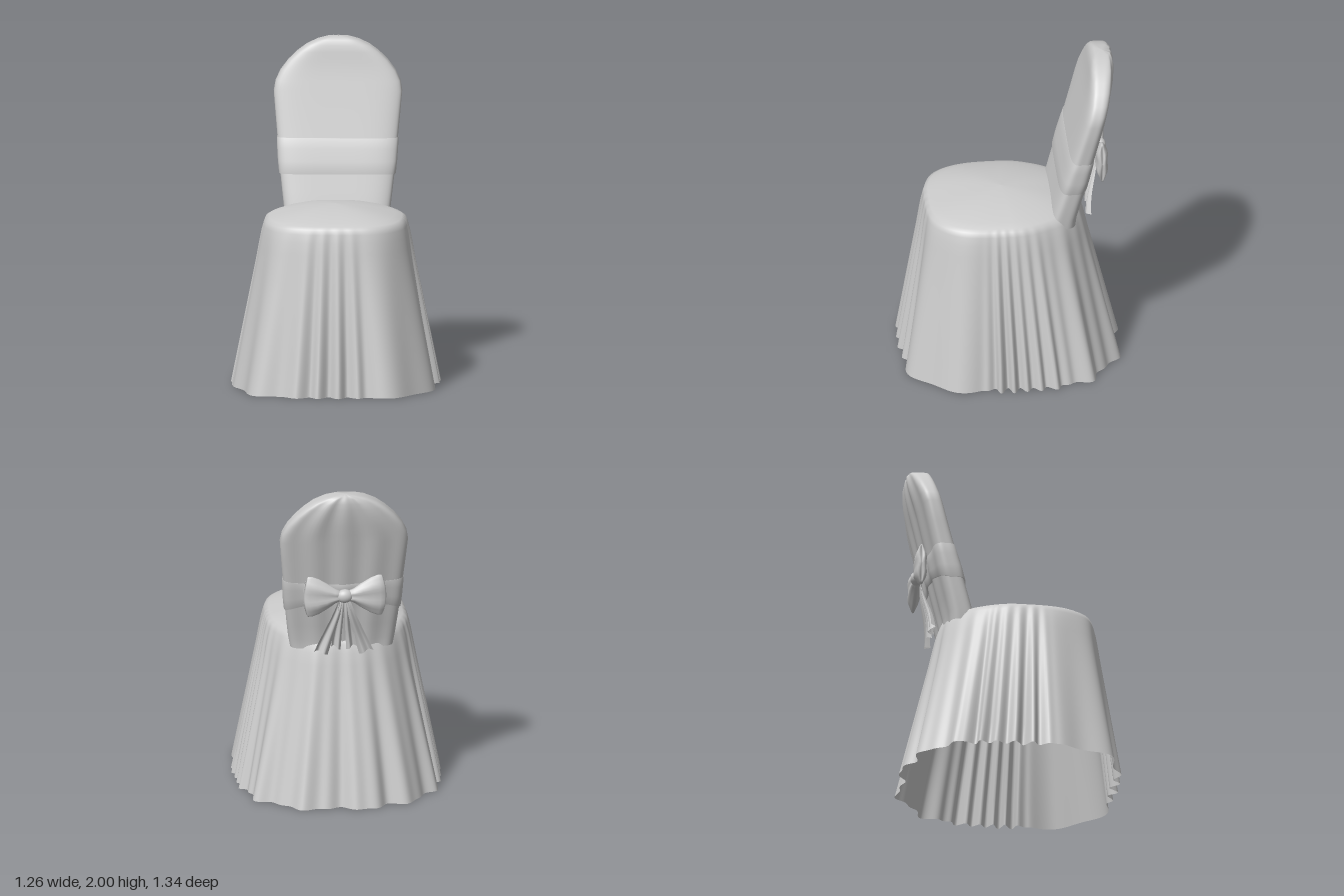
import * as THREE from 'three';

const material = new THREE.MeshStandardMaterial({ color: 0xcccccc, side: THREE.DoubleSide });

// Skin a list of equal-length closed rings of [x, y, z] points
function loft(name, rings) {
  const n = rings[0].length, index = [];
  for (let i = 0; i < rings.length - 1; i++) {
    for (let j = 0; j < n; j++) {
      const a = i * n + j, c = i * n + (j + 1) % n;
      index.push(a, a + n, c, c, a + n, c + n);
    }
  }
  const geo = new THREE.BufferGeometry();
  geo.setAttribute('position', new THREE.Float32BufferAttribute(rings.flat(2), 3));
  geo.setIndex(index);
  geo.computeVertexNormals();
  return named(name, geo);
}

function named(name, geo) {
  const mesh = new THREE.Mesh(geo, material);
  mesh.name = name;
  return mesh;
}

const ring = (n, fn) => Array.from({ length: n }, (_, j) => fn((j / n) * Math.PI * 2));

// Radius of a rounded rectangle in direction t
function squircle(t, a, b, p) {
  return (Math.abs(Math.cos(t) / a) ** p + Math.abs(Math.sin(t) / b) ** p) ** (-1 / p);
}

// Fabric folds around the hem: tight at the sides, broad at the corners
function fold(t) {
  const c = Math.cos(t), s = Math.sin(t);
  const side = Math.exp(-(((s + 0.1) / 0.36) ** 4));
  const front = s > 0 ? Math.exp(-((c / 0.3) ** 4)) : 0;
  const back = s < 0 ? 1 - side : 0;
  const broad = (1 - side) * (1 - front);
  return 0.04 * side * Math.sin(42 * t + 1.5 * Math.sin(5 * t)) * (0.75 + 0.25 * Math.sin(9 * t))
    + 0.03 * front * Math.sin(30 * t + Math.sin(4 * t))
    + 0.024 * broad * Math.sin(14 * t + 1.2 * Math.sin(3 * t + 1))
    + 0.012 * back * Math.sin(27 * t + 2);
}

// Draped skirt and domed seat in one cloth; spread goes 0 at the seat to 1 at the hem
function clothRing(y, spread, scale = 1) {
  return ring(400, t => {
    const c = Math.cos(t), s = Math.sin(t);
    const r0 = squircle(t, 0.415, 0.45, 3) * scale;
    const taper = 1 - 0.2 * THREE.MathUtils.smoothstep(-s, 0.1, 1);
    const r1 = squircle(t, 0.6, 0.645, 3.1 + 0.6 * s) + fold(t);
    return [
      THREE.MathUtils.lerp(r0 * c * taper, r1 * c, spread),
      y,
      THREE.MathUtils.lerp(0.05 + r0 * s, r1 * s, spread),
    ];
  });
}

function skirtAndSeat() {
  const drop = [[0, 1], [0.15, 0.86], [0.3, 0.72], [0.45, 0.58], [0.6, 0.44], [0.75, 0.3],
    [0.85, 0.215], [0.92, 0.15], [0.97, 0.085], [1, 0.03]];
  const dome = [[1.015, 0.96], [1.03, 0.86], [1.052, 0.66], [1.07, 0.42], [1.08, 0.2], [1.085, 0.001]];
  return loft('skirtAndSeat', [
    ...drop.map(([y, s]) => clothRing(y, s)),
    ...dome.map(([y, k]) => clothRing(y, 0, k)),
  ]);
}

// Backrest sections: height, half width, front z, back z
const backRows = [
  [0.94, 0.31, -0.215, -0.4], [1.0, 0.32, -0.23, -0.405], [1.1, 0.332, -0.258, -0.43],
  [1.2, 0.343, -0.287, -0.455], [1.3, 0.352, -0.315, -0.478], [1.4, 0.361, -0.343, -0.502],
  [1.55, 0.375, -0.385, -0.537], [1.68, 0.386, -0.42, -0.567], [1.74, 0.375, -0.436, -0.582],
  [1.8, 0.345, -0.452, -0.597], [1.86, 0.298, -0.465, -0.61], [1.91, 0.245, -0.475, -0.617],
  [1.95, 0.19, -0.483, -0.62], [1.98, 0.125, -0.497, -0.615], [1.995, 0.065, -0.515, -0.605],
  [2.0, 0.001, -0.56, -0.562],
];

function backAt(y) {
  const i = Math.max(1, backRows.findIndex(r => r[0] >= y));
  const [a, b] = [backRows[i - 1], backRows[i]];
  return a.map((v, k) => THREE.MathUtils.lerp(v, b[k], (y - a[0]) / (b[0] - a[0])));
}

// One point on the backrest surface, pushed out by grow
function backPoint(t, y, grow = 0) {
  const [, w, f, b] = backAt(y);
  const c = Math.cos(t), s = Math.sin(t), d = (f - b) / 2;
  // even spacing around the section by working in unit-square space
  const r = squircle(t, 1, 1, s > 0 ? 5 : 3.2);
  const pleat = s < 0 ? 0.007 * s * Math.cos(c * r * 13) * Math.min(1, w / 0.3) : 0;
  return [c * r * (w + grow), y, (f + b) / 2 + s * r * (d + grow) + pleat];
}

function backrest() {
  return loft('backrest', backRows.map(([y]) => ring(96, t => backPoint(t, y))));
}

// Sash round the backrest, its edges drawn in towards the bow
function sash() {
  const rows = [[0, -0.004], [0, 0.008], [0.35, 0.009], [0.7, 0.007], [1, 0.004], [1, -0.004]];
  return loft('sash', rows.map(([v, grow]) => ring(96, t => {
    const rear = Math.max(0, -Math.sin(t)) ** 3;
    return backPoint(t, THREE.MathUtils.lerp(1.2 + 0.08 * rear, 1.41 - 0.02 * rear, v), grow);
  })));
}

// Puffed loop of the bow: distance out, half height, half depth
function bowLoop(side) {
  const rows = [[0.02, 0.001, 0.001], [0.02, 0.03, 0.022], [0.06, 0.045, 0.03], [0.11, 0.078, 0.036],
    [0.17, 0.112, 0.037], [0.215, 0.128, 0.033], [0.24, 0.128, 0.024], [0.25, 0.115, 0.012], [0.238, 0.001, 0.001]];
  return loft(side > 0 ? 'leftBowLoop' : 'rightBowLoop', rows.map(([x, h, d]) => ring(32, t => {
    const crease = 1 + 0.12 * Math.cos(6 * t);
    return [side * (x - 0.02 * Math.cos(t) ** 2 * (x / 0.25)), 1.335 + h * Math.cos(t),
      -0.545 - side * d * crease * Math.sin(t)];
  })));
}

// Hanging ribbon that widens, pleats and flares outwards
function bowTail(side, name, endX, endY, width) {
  const geo = new THREE.PlaneGeometry(1, 1, 10, 14), p = geo.attributes.position;
  for (let i = 0; i < p.count; i++) {
    const u = p.getX(i), v = 0.5 - p.getY(i);
    const w = THREE.MathUtils.lerp(0.025, width, v);
    p.setXYZ(i,
      side * (0.012 + endX * v ** 1.15 + u * w),
      THREE.MathUtils.lerp(1.33, endY, v) - 0.02 * v * Math.abs(u) + 0.03 * v * u,
      -0.525 + 0.055 * v + 0.018 * v * Math.sin(u * 8) - 0.008 * Math.sin(v * 6));
  }
  geo.computeVertexNormals();
  return named(name, geo);
}

function bow() {
  const group = new THREE.Group();
  group.name = 'bow';
  for (const side of [1, -1]) {
    const label = side > 0 ? 'left' : 'right';
    group.add(bowLoop(side),
      bowTail(side, label + 'OuterTail', 0.125, 0.95, 0.085),
      bowTail(side, label + 'InnerTail', 0.035, 0.98, 0.06));
  }
  const knot = named('bowKnot', new THREE.SphereGeometry(1, 24, 16));
  knot.scale.set(0.05, 0.042, 0.036);
  knot.position.set(0, 1.335, -0.55);
  group.add(knot);
  return group;
}

export function createModel() {
  const model = new THREE.Group();
  model.name = 'coveredChair';
  model.add(skirtAndSeat(), backrest(), sash(), bow());
  return model;
}
